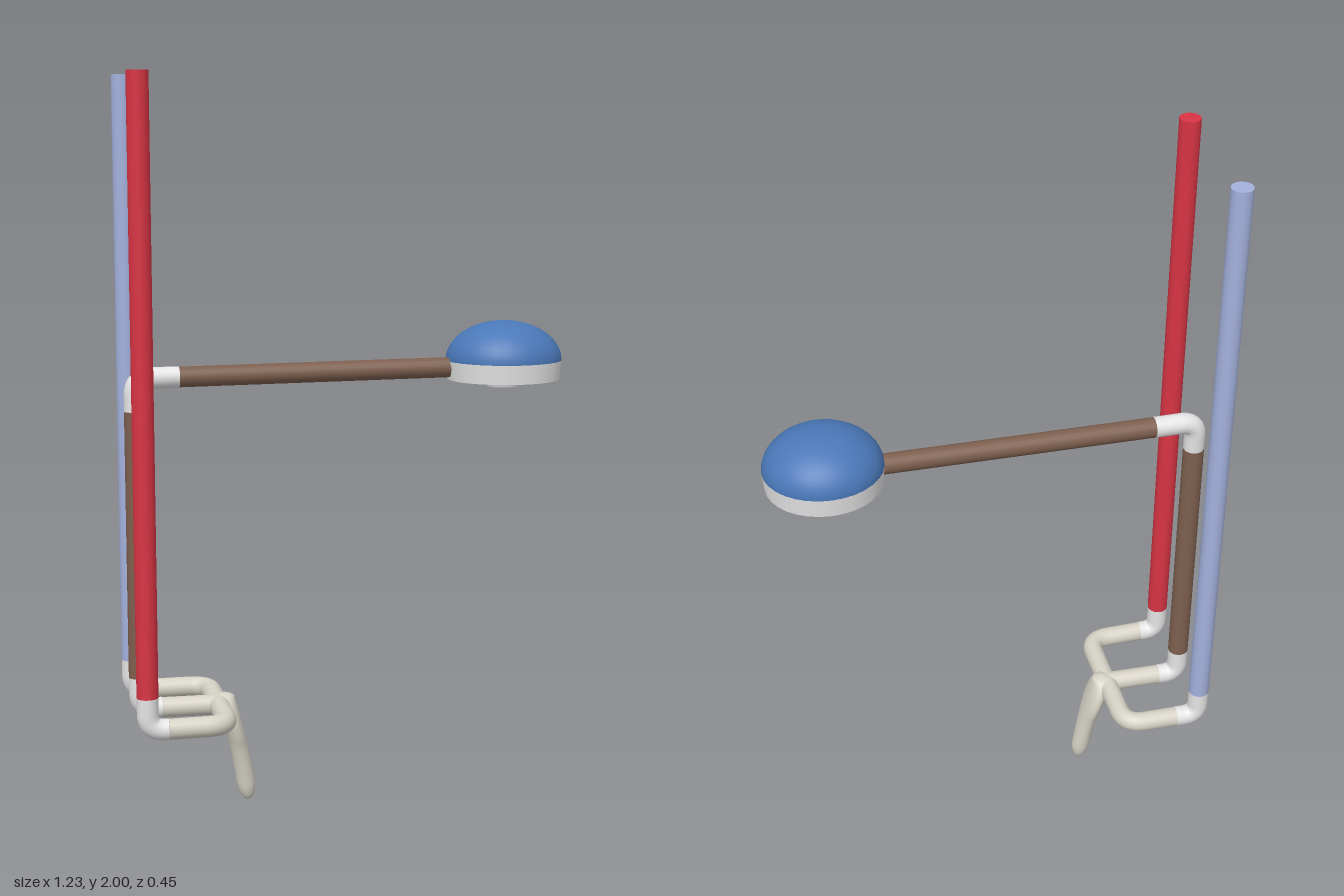
import * as THREE from 'three';

const mat = (name, color) => {
  const m = new THREE.MeshStandardMaterial({ color });
  m.name = name;
  return m;
};
const V = (x, y, z) => new THREE.Vector3(x, y, z);

export function createModel() {
  const red = mat('hot red', 0xd83444);
  const paleBlue = mat('cold pale blue', 0xa3b1dc);
  const blue = mat('dome blue', 0x4a78b8);
  const brown = mat('pipe brown', 0x7d5f4e);
  const white = mat('fitting white', 0xe4e4e4);
  const stone = mat('body warm grey', 0xd6d2c6);

  const group = new THREE.Group();
  const add = (name, geometry, material) => {
    const mesh = new THREE.Mesh(geometry, material);
    mesh.name = name;
    group.add(mesh);
    return mesh;
  };

  // straight capped pipe between two points
  const pipe = (name, a, b, r, material) => {
    const dir = b.clone().sub(a);
    const mesh = add(name, new THREE.CylinderGeometry(r, r, dir.length(), 20), material);
    mesh.position.copy(a).add(b).multiplyScalar(0.5);
    mesh.quaternion.setFromUnitVectors(V(0, 1, 0), dir.normalize());
  };

  // pipe through several points with rounded corners
  const bentPipe = (name, pts, bend, r, material) => {
    const path = new THREE.CurvePath();
    let from = pts[0];
    for (let i = 1; i < pts.length - 1; i++) {
      const p = pts[i];
      const into = p.clone().add(pts[i - 1].clone().sub(p).setLength(bend));
      const out = p.clone().add(pts[i + 1].clone().sub(p).setLength(bend));
      path.add(new THREE.LineCurve3(from, into));
      path.add(new THREE.QuadraticBezierCurve3(into, p, out));
      from = out;
    }
    path.add(new THREE.LineCurve3(from, pts[pts.length - 1]));
    add(name, new THREE.TubeGeometry(path, 64, r, 20), material);
  };

  const R = 0.029, low = 0.28, joint = 0.37;

  // supply pipes with their lower elbows
  const supplies = [
    ['hot', -0.575, 0.198, red],
    ['cold', -0.586, -0.194, paleBlue],
  ];
  for (const [name, x, z, material] of supplies) {
    pipe(name + 'SupplyPipe', V(x, joint, z), V(x, 2, z), R, material);
    bentPipe(name + 'Elbow', [V(x, joint, z), V(x, low, z), V(-0.52, low, z)], 0.045, R, white);
  }

  // U-shaped mixer body joining the supplies, and its middle outlet
  bentPipe('mixerBody', [V(-0.52, low, 0.198), V(-0.358, low, 0.19),
    V(-0.368, low, -0.196), V(-0.52, low, -0.194)], 0.06, 0.028, stone);
  pipe('outletPipe', V(-0.52, low, -0.005), V(-0.365, low, -0.005), 0.028, stone);

  // riser and shower arm
  bentPipe('riserElbow', [V(-0.58, joint, -0.005), V(-0.58, low, -0.005), V(-0.52, low, -0.005)], 0.045, R, white);
  pipe('riserPipe', V(-0.58, joint, -0.005), V(-0.58, 1.105, -0.005), R, brown);
  const armStart = V(-0.46, 1.195, -0.013), armEnd = V(0.36, 1.203, -0.038);
  bentPipe('armElbow', [V(-0.58, 1.105, -0.005), V(-0.58, 1.194, -0.008), armStart], 0.045, R, white);
  pipe('showerArm', armStart, armEnd, 0.028, brown);

  // shower head: dome, rim and nozzle
  const head = V(0.45, 1.22, -0.039);
  const dome = add('headDome', new THREE.SphereGeometry(1, 32, 12, 0, Math.PI * 2, 0, Math.PI / 2), blue);
  dome.scale.set(0.162, 0.11, 0.152);
  dome.position.copy(head);
  const rim = add('headRim', new THREE.CylinderGeometry(0.162, 0.157, 0.053, 32), white);
  rim.scale.z = 0.94;
  rim.position.set(head.x, 1.1935, head.z);
  const nozzle = add('headNozzle', new THREE.CylinderGeometry(0.055, 0.048, 0.02, 24), white);
  nozzle.position.set(head.x, 1.157, head.z);

  // hanging lever: a lathe flattened and bent along its length
  const profile = [[0, 0.003], [0.014, 0.008], [0.024, 0.035], [0.029, 0.08], [0.038, 0.15],
    [0.048, 0.19], [0.053, 0.23], [0.049, 0.265], [0.035, 0.295], [0.018, 0.308], [0, 0.312]]
    .map(([r, y]) => new THREE.Vector2(r, y));
  profile[0].y = 0;
  const lever = new THREE.LatheGeometry(new THREE.SplineCurve(profile).getPoints(40)
    .map(p => new THREE.Vector2(Math.max(p.x, 0), p.y)), 24);
  const pos = lever.attributes.position;
  for (let i = 0; i < pos.count; i++) {
    const x = pos.getX(i), y = pos.getY(i), r = Math.hypot(x, pos.getZ(i));
    const flat = r > 0 ? Math.min(1, 0.026 / r) : 1;
    pos.setX(i, x * flat - 0.282 - 0.1 * y - 0.35 * y * y);
  }
  lever.computeVertexNormals();
  add('lever', lever, stone).position.z = -0.01;

  return group;
}
